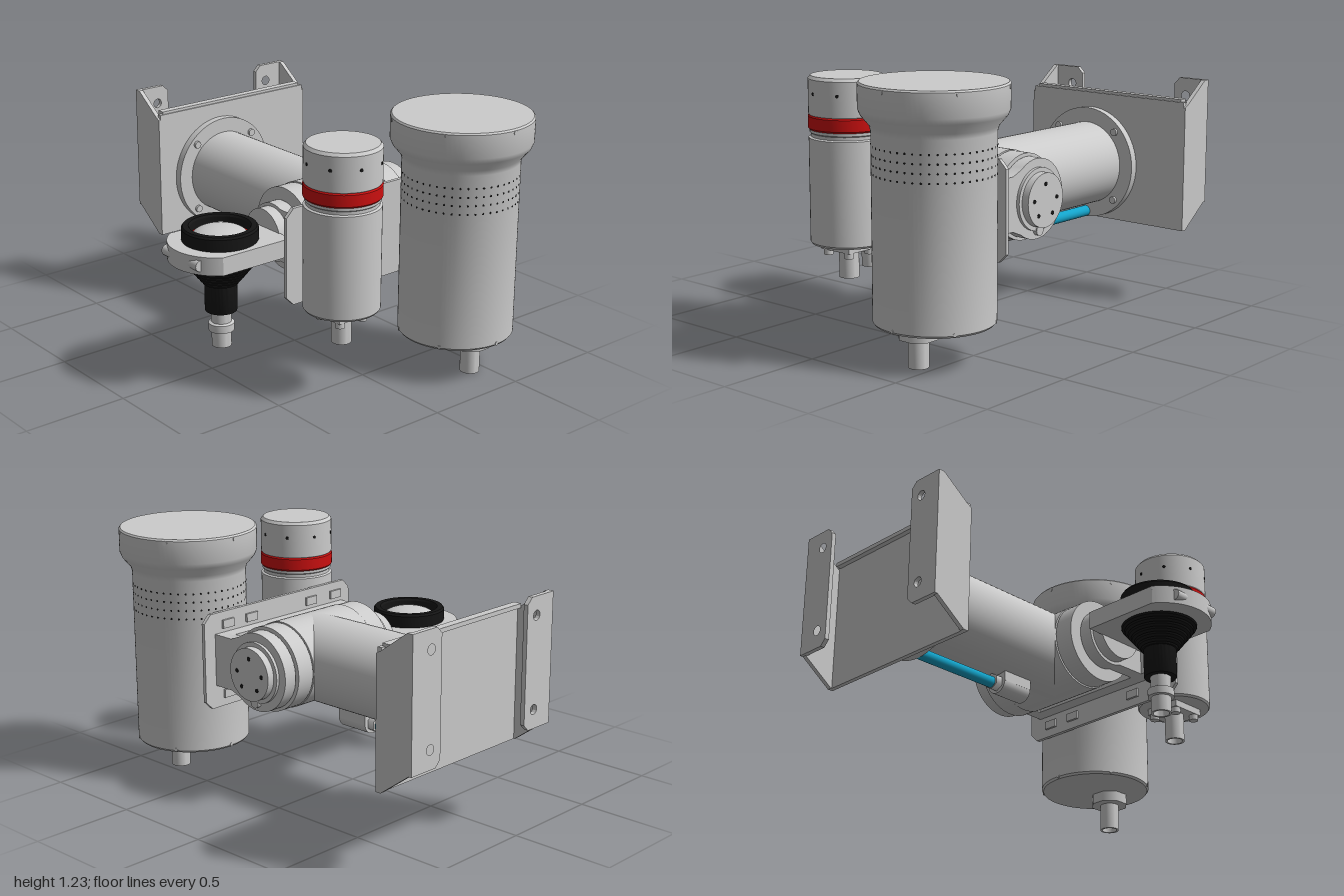
import * as THREE from 'three';
import { toCreasedNormals } from 'three/addons/utils/BufferGeometryUtils.js';

const mat = (color) => new THREE.MeshStandardMaterial({ color });
const grey = mat(0xcccccc), black = mat(0x151515), red = mat(0xcc1010), blue = mat(0x14a5cc), white = mat(0xf4f4f4);
const V = (p) => new THREE.Vector2(p[0], p[1]);

export function createModel() {
  const root = new THREE.Group();

  const add = (name, geo, x = 0, y = 0, z = 0, m = grey, parent = root) => {
    const mesh = new THREE.Mesh(geo, m);
    mesh.name = name;
    mesh.position.set(x, y, z);
    parent.add(mesh);
    return mesh;
  };
  // Turned part: [radius, y] profile from the bottom up
  const turned = (name, profile, x, z, m = grey, seg = 64) =>
    add(name, toCreasedNormals(new THREE.LatheGeometry(profile.map(V), seg), 0.5), x, 0, z, m);
  const box = (name, x0, x1, y0, y1, z0, z1, m) =>
    add(name, new THREE.BoxGeometry(x1 - x0, y1 - y0, z1 - z0), (x0 + x1) / 2, (y0 + y1) / 2, (z0 + z1) / 2, m);
  // Cylinder along x or z between two coordinates
  const rodX = (name, x0, x1, r, y, z, m, seg = 48) =>
    add(name, new THREE.CylinderGeometry(r, r, x1 - x0, seg).rotateZ(Math.PI / 2), (x0 + x1) / 2, y, z, m);
  const rodZ = (name, z0, z1, r, x, y, m, seg = 48) =>
    add(name, new THREE.CylinderGeometry(r, r, z1 - z0, seg).rotateX(Math.PI / 2), x, y, (z0 + z1) / 2, m);
  const extrude = (shape, depth) =>
    toCreasedNormals(new THREE.ExtrudeGeometry(shape, { depth, bevelEnabled: false, curveSegments: 32 }), 0.5);
  // Hollow connector stub
  const stub = (name, x, z, y0, y1, r) =>
    turned(name, [[0, y0 + 0.06], [r * 0.78, y0 + 0.06], [r * 0.78, y0], [r, y0], [r, y1], [0, y1]], x, z, grey, 32);
  // Small studs pointing outwards around a vertical axis
  const studs = (name, n, cx, y, cz, radius, r, phase = 0, m = grey) => {
    const group = new THREE.Group();
    group.name = name;
    for (let i = 0; i < n; i++) {
      const a = phase + i / n * Math.PI * 2;
      const s = add(name, new THREE.CylinderGeometry(r, r, 0.012, 10).rotateX(Math.PI / 2),
        cx + Math.sin(a) * radius, y, cz + Math.cos(a) * radius, m, group);
      s.rotation.y = a;
    }
    root.add(group);
  };

  // Large canister with a flared head
  const bx = 0.425, bz = 0.67;
  turned('largeCanister', [[0, 0.18], [0.262, 0.18], [0.27, 0.19], [0.27, 1.02], [0.277, 1.045], [0.315, 1.09],
    [0.325, 1.115], [0.325, 1.222], [0.318, 1.23], [0, 1.23]], bx, bz, grey, 96);
  studs('headScrew', 6, bx, 1.212, bz, 0.321, 0.011);
  studs('baseScrew', 6, bx, 0.193, bz, 0.266, 0.009);
  for (let i = 0; i < 4; i++) studs('ventRow', 48, bx, 0.84 + i * 0.04, bz, 0.2645, 0.005, 0, black);
  add('largeConnectorFlange', new THREE.CylinderGeometry(0.092, 0.092, 0.05, 8).rotateY(Math.PI / 8).toNonIndexed(), bx, 0.155, 0.775);
  stub('largeConnector', bx, 0.775, 0, 0.14, 0.046);

  // Small canister with a red band
  const sx = -0.195, sz = 0.57;
  turned('smallCanister', [[0, 0.42], [0.168, 0.42], [0.175, 0.43], [0.175, 0.91], [0.164, 0.915], [0.164, 0.93],
    [0.17, 0.935], [0.17, 0.95], [0, 0.95]], sx, sz);
  turned('redBand', [[0, 0.948], [0.172, 0.948], [0.177, 0.955], [0.177, 1.008], [0.172, 1.015], [0, 1.015]], sx, sz, red);
  turned('smallCap', [[0, 1.012], [0.17, 1.012], [0.175, 1.02], [0.175, 1.178], [0.163, 1.192], [0, 1.192]], sx, sz);
  studs('capScrew', 8, sx, 1.115, sz, 0.171, 0.008, -0.25, black);
  box('smallConnectorFlange', sx - 0.09, sx + 0.09, 0.388, 0.422, sz - 0.09, sz + 0.09);
  for (const i of [-1, 1]) for (const j of [-1, 1])
    add('flangeScrew', new THREE.CylinderGeometry(0.022, 0.022, 0.03, 16), sx + i * 0.066, 0.377, sz + j * 0.066);
  stub('smallConnector', sx, sz, 0.255, 0.4, 0.046);

  // Dome sensor held in a round-ended clamp
  const dx = -0.515, dz = 0.1, a = Math.asin(0.2 / 0.24);
  const clamp = new THREE.Shape();
  clamp.absarc(dx, -dz, 0.24, Math.PI - a, Math.PI + a, false);
  clamp.lineTo(-0.265, -0.3);
  clamp.lineTo(-0.265, 0.1);
  add('sensorClamp', extrude(clamp, 0.085).rotateX(-Math.PI / 2), 0, 0.6, 0);
  rodZ('clampBolt', dz - 0.13, dz + 0.13, 0.026, -0.72, 0.643, grey, 20);
  turned('sensorCollar', [[0, 0.68], [0.17, 0.68], [0.175, 0.688], [0.175, 0.742], [0.168, 0.752], [0.142, 0.752],
    [0.136, 0.742], [0.136, 0.69], [0, 0.69]], dx, dz, black);
  turned('sensorRing', [[0, 0.689], [0.137, 0.689], [0.137, 0.705], [0, 0.705]], dx, dz, red);
  add('sensorDome', new THREE.SphereGeometry(0.128, 48, 16, 0, Math.PI * 2, 0, Math.PI / 2).scale(1, 0.36, 1), dx, 0.7, dz, white);
  // Ribbed cone: stacked fins that shrink downwards
  const cone = [[0, 0.34], [0.073, 0.34], [0.075, 0.345], [0.075, 0.475]];
  for (let i = 0; i < 7; i++) {
    const y = 0.475 + i * 0.018, r = 0.083 + i * 0.0145;
    cone.push([r, y], [r + 0.004, y + 0.009], [r - 0.016, y + 0.01], [r - 0.016, y + 0.018]);
  }
  cone.push([0.175, 0.601], [0, 0.601]);
  turned('ribbedCone', cone, dx, dz, black);
  turned('sensorPlug', [[0, 0.2], [0.036, 0.2], [0.036, 0.165], [0.046, 0.165], [0.046, 0.24], [0.06, 0.242],
    [0.06, 0.278], [0.047, 0.284], [0.047, 0.345], [0, 0.345]], dx, dz, grey, 32);

  // Tilt joint across x and arm tube towards the back
  const jy = 0.645, jz = 0.1, tx = 0.16;
  rodX('jointBody', -0.045, 0.365, 0.204, jy, jz, grey, 64);
  for (const [x0, x1, r] of [[-0.145, -0.05, 0.2], [0.37, 0.46, 0.2], [-0.05, -0.04, 0.192], [0.36, 0.37, 0.192]])
    rodX('jointDisc', x0, x1, r, jy, jz, grey, 64);
  rodX('rightHub', -0.27, -0.14, 0.125, jy, jz);
  rodX('leftHub', 0.45, 0.58, 0.125, jy, jz);
  rodX('leftHubRim', 0.53, 0.545, 0.145, jy, jz);
  for (const [y, z, r] of [[0.72, 0.1, 0.01], [0.58, 0.15, 0.01], [0.58, 0.05, 0.01], [0.65, 0.02, 0.01], [0.65, 0.18, 0.01]])
    rodX('hubHole', 0.57, 0.582, r, y, z, black, 12);
  rodX('hubBolt', 0.53, 0.55, 0.025, 0.503, jz, grey, 16);
  rodZ('armTube', -0.78, jz, 0.205, tx, jy, grey, 64);
  rodZ('armFlange', -0.805, -0.765, 0.277, tx, jy, grey, 64);
  for (let i = 0; i < 4; i++) {
    const t = Math.PI / 4 + i * Math.PI / 2;
    rodZ('armFlangeBolt', -0.77, -0.752, 0.018, tx + Math.cos(t) * 0.242, jy + Math.sin(t) * 0.242, grey, 12);
  }

  // Yoke: two arms, crossbar and mounting plate for the canisters
  const yokeArm = (name, x, width, r, ang) => {
    const s = new THREE.Shape();
    s.moveTo(-0.385, 0.52);
    s.lineTo(-0.27, 0.52);
    s.absarc(-jz, jy, r, -ang, ang, false);
    s.lineTo(-0.27, 0.77);
    s.lineTo(-0.385, 0.77);
    add(name, extrude(s, width).rotateY(Math.PI / 2), x);
  };
  yokeArm('yokeArmRight', -0.215, 0.065, 0.14, 2.0);
  yokeArm('yokeArmLeft', 0.465, 0.065, 0.185, 2.2);
  box('yokeCrossbar', -0.315, 0.53, 0.52, 0.77, 0.31, 0.385);
  const c = 0.04;
  const plate = new THREE.Shape([[-0.37 + c, 0.41], [0.595 - c, 0.41], [0.595, 0.41 + c], [0.595, 0.87 - c],
    [0.595 - c, 0.87], [-0.37 + c, 0.87], [-0.37, 0.87 - c], [-0.37, 0.41 + c]].map(V));
  add('canisterPlate', extrude(plate, 0.018), 0, 0, 0.379);
  for (const x of [-0.27, -0.1, 0.3, 0.45]) for (const y of [0.47, 0.81])
    box('platePad', x - 0.035, x + 0.035, y - 0.02, y + 0.02, 0.368, 0.38);

  // Gas strut below the arm
  box('strutBlock', tx - 0.055, tx + 0.055, 0.4, 0.47, -0.28, -0.115);
  rodZ('strutHousing', -0.28, -0.115, 0.055, tx, 0.405, grey, 32);
  rodZ('strutCollar', -0.315, -0.28, 0.04, tx, 0.4, grey, 6);
  rodZ('strutRod', -0.77, -0.31, 0.027, tx, 0.395, blue, 32);

  // Wall bracket: front panel, bent top edge, slanted cheeks, drilled lips
  const x0 = -0.212, x1 = 0.715, t = 0.022;
  box('bracketPanel', x0 + 0.01, x1 - 0.01, 0.365, 0.995, -0.825, -0.803);
  box('bracketTopEdge', x0 + 0.03, x1 - 0.03, 0.988, 1.008, -0.85, -0.81);
  const cheek = new THREE.Shape([[0.803, 0.365], [0.83, 0.365], [0.985, 0.48], [1, 0.48], [1, 1.087], [0.97, 1.087],
    [0.83, 0.985], [0.803, 0.97]].map(V));
  for (const x of [x0, x1 - t]) add('bracketCheek', extrude(cheek, t).rotateY(Math.PI / 2), x);
  for (const [x, s] of [[x0, 1], [x1, -1]]) {
    const pts = [[x, 0.48], [x + s * 0.15, 0.48], [x + s * 0.18, 0.51], [x + s * 0.18, 1.057], [x + s * 0.15, 1.087], [x, 1.087]];
    const lip = new THREE.Shape(pts.map(V));
    for (const y of [0.57, 1.0])
      lip.holes.push(new THREE.Path().absarc(x + s * 0.115, y, 0.023, 0, Math.PI * 2, true));
    add('bracketLip', extrude(lip, t), 0, 0, -1);
  }
  return root;
}
